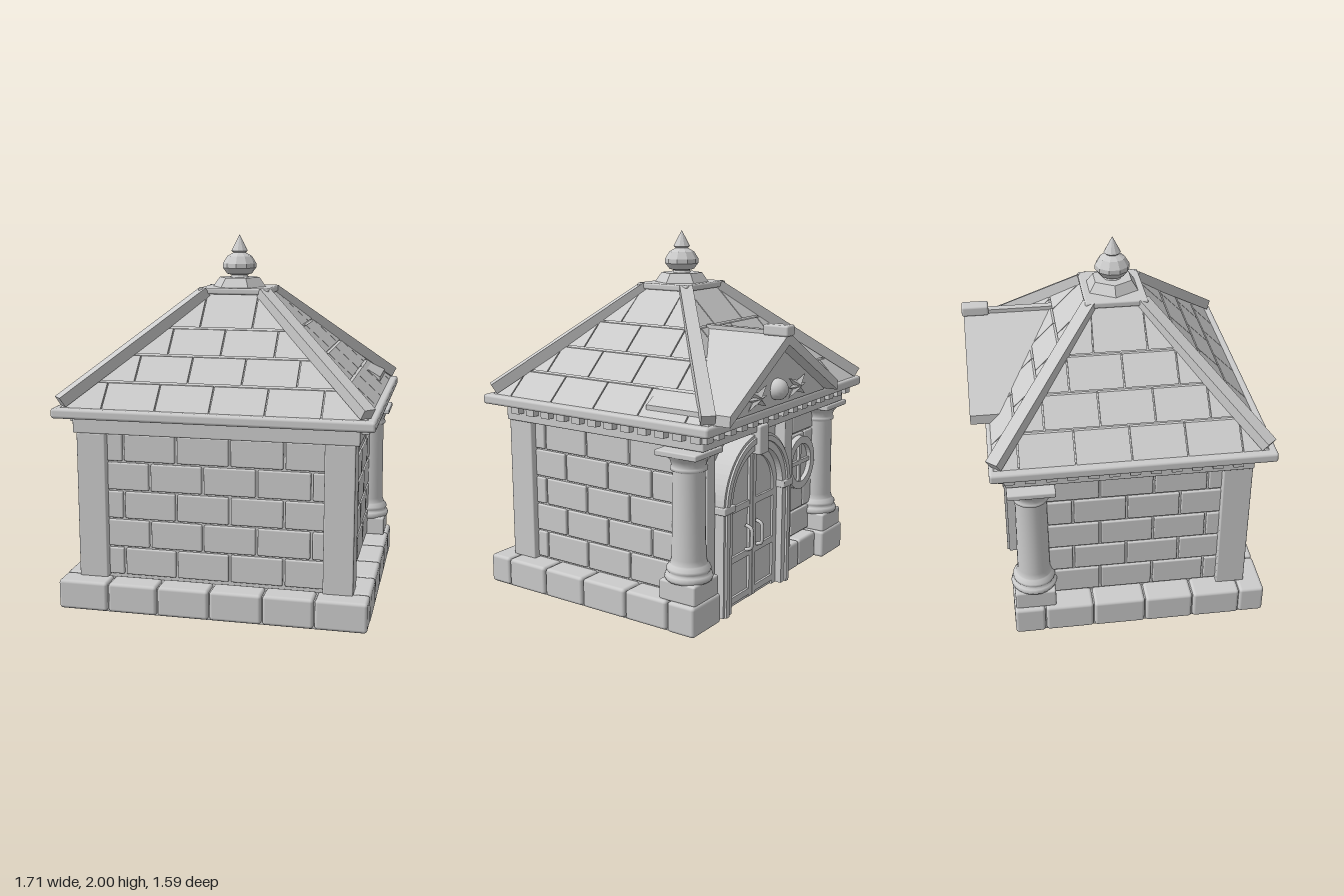
import * as THREE from 'three';
import { RoundedBoxGeometry } from 'three/addons/geometries/RoundedBoxGeometry.js';

const CZ = 0.04; // roof centre in z
const DX = 0.21; // door and pediment centre in x

export function createModel() {
  const stone = new THREE.MeshStandardMaterial({ color: 0xcccccc });
  stone.name = 'stone';
  const model = new THREE.Group();
  model.name = 'mausoleum';

  const add = (name, geo, parent = model) => {
    const m = new THREE.Mesh(geo, stone);
    m.name = name;
    parent.add(m);
    return m;
  };
  const group = (name) => {
    const g = new THREE.Group();
    g.name = name;
    model.add(g);
    return g;
  };
  // box from its limits, optionally with rounded edges
  const box = (name, x0, x1, y0, y1, z0, z1, r = 0, parent = model) => {
    const s = [x1 - x0, y1 - y0, z1 - z0];
    const geo = r ? new RoundedBoxGeometry(...s, 2, r) : new THREE.BoxGeometry(...s);
    const m = add(name, geo, parent);
    m.position.set((x0 + x1) / 2, (y0 + y1) / 2, (z0 + z1) / 2);
    return m;
  };
  const flat = (geo) => {
    const g = geo.index ? geo.toNonIndexed() : geo;
    g.computeVertexNormals();
    return g;
  };
  const poly = (pts) => new THREE.Shape(pts.map((p) => new THREE.Vector2(...p)));
  const extrude = (shape, depth) =>
    new THREE.ExtrudeGeometry(shape, { depth, bevelEnabled: false, curveSegments: 20 });

  // plinth
  const plinth = group('plinth');
  box('plinthCore', -0.82, 0.82, 0, 0.15, -0.54, 0.78, 0, plinth);
  const fx = [-0.84, -0.56, -0.285, 0, 0.285, 0.56, 0.84];
  for (let i = 0; i < 6; i++)
    box('frontPlinthBlock', fx[i] + 0.003, fx[i + 1] - 0.003, 0.003, 0.165, 0.66, 0.8, 0.018, plinth);
  const sz = [-0.44, -0.17, 0.12, 0.39, 0.66];
  for (const s of [-1, 1]) {
    for (let i = 0; i < 4; i++)
      box('sidePlinthBlock', s * 0.765 - 0.075, s * 0.765 + 0.075, 0.003, 0.165,
        sz[i] + 0.003, sz[i + 1] - 0.003, 0.018, plinth);
    box('columnPlinthBlock', s * 0.71 - 0.13, s * 0.71 + 0.13, 0, 0.165, -0.61, -0.443, 0.018, plinth);
  }
  for (const x of [-0.58, -0.37])
    box('backPlinthBlock', x + 0.003, x + 0.207, 0.003, 0.165, -0.56, -0.44, 0.018, plinth);

  // walls: a core faced with staggered bricks
  box('wallCore', -0.7, 0.7, 0.15, 0.97, -0.48, 0.645);
  const brickWall = (name, lo, hi, firstJoint) => {
    const g = group(name);
    for (let r = 0; r < 5; r++) {
      const y = 0.168 + r * 0.159;
      for (let a = firstJoint - (r % 2 ? 0.44 : 0.586); a < hi; a += 0.293) {
        const x0 = Math.max(a + 0.006, lo), x1 = Math.min(a + 0.287, hi);
        if (x1 - x0 > 0.03) box('brick', x0, x1, y + 0.005, y + 0.154, -0.02, 0.015, 0.008, g);
      }
    }
    return g;
  };
  brickWall('frontBricks', -0.6, 0.6, -0.21).position.z = 0.645;
  for (const s of [-1, 1]) {
    const w = brickWall('sideBricks', s > 0 ? -0.55 : -0.45, s > 0 ? 0.45 : 0.55, s > 0 ? -0.18 : -0.12);
    w.rotation.y = s * Math.PI / 2;
    w.position.x = s * 0.7;
  }
  const backWall = brickWall('backBricks', -0.64, 0.64, -0.21);
  backWall.rotation.y = Math.PI;
  backWall.position.z = -0.48;

  // front corner posts and back corner columns
  const columnProfile = [[0, 0.265], [0.122, 0.265], [0.128, 0.28], [0.122, 0.298], [0.108, 0.303],
    [0.116, 0.316], [0.116, 0.33], [0.1, 0.348], [0.098, 0.355], [0.09, 0.38], [0.085, 0.84],
    [0.096, 0.848], [0.096, 0.862], [0.088, 0.87], [0.098, 0.9], [0.122, 0.925], [0.122, 0.935], [0, 0.935]];
  for (const s of [-1, 1]) {
    box('cornerPost', s * 0.67 - 0.08, s * 0.67 + 0.08, 0.16, 0.965, 0.54, 0.7, 0.008);
    const x = s * 0.705, z = -0.49;
    box('columnPedestal', x - 0.112, x + 0.112, 0.16, 0.27, z - 0.112, z + 0.112, 0.012);
    const shaft = add('column', new THREE.LatheGeometry(columnProfile.map((p) => new THREE.Vector2(...p)), 24));
    shaft.position.set(x, 0, z);
    box('columnAbacus', x - 0.127, x + 0.127, 0.925, 0.957, z - 0.127, z + 0.127, 0.008);
  }

  // entablature with dentils
  box('frieze', -0.77, 0.77, 0.962, 1.06, -0.62, 0.7, 0.008);
  const dentils = group('dentils');
  for (let i = 0; i < 12; i++)
    for (const s of [-1, 1]) {
      const z = 0.6 - i * 0.109;
      box('sideDentil', s * 0.785 - 0.025, s * 0.785 + 0.025, 1.012, 1.056, z - 0.028, z + 0.028, 0, dentils);
    }
  for (let i = -7; i <= 7; i++)
    box('backDentil', i * 0.109 - 0.028, i * 0.109 + 0.028, 1.012, 1.056, -0.655, -0.61, 0, dentils);
  box('cornice', -0.855, 0.855, 1.055, 1.11, -0.7, 0.8, 0.016);

  // hipped roof: sheared tile plates on a core
  const hx = (y) => 0.8 - 1.105 * (y - 1.12);
  const hz = (y) => 1.825 - y;
  const shear = (geo, run) => {
    const p = geo.attributes.position;
    for (let i = 0; i < p.count; i++) p.setZ(i, p.getZ(i) + run(p.getY(i)));
    return flat(geo);
  };
  const rows = [1.105, 1.235, 1.367, 1.502, 1.69];
  const clamp = THREE.MathUtils.clamp;
  for (let f = 0; f < 4; f++) {
    const [run, half] = f % 2 ? [hx, hz] : [hz, hx];
    const face = group('roofFace');
    face.position.z = CZ;
    face.rotation.y = f * Math.PI / 2;
    const core = poly([[-half(1.1), 1.1], [half(1.1), 1.1], [half(1.69), 1.69], [-half(1.69), 1.69]]);
    add('roofCore', shear(extrude(core, 0.02), (y) => run(y) - 0.035), face);
    for (let r = 0; r < 4; r++) {
      const y0 = rows[r] + 0.005, y1 = rows[r + 1] - 0.005, h0 = half(y0), h1 = half(y1);
      for (let a = r % 2 ? -1.02 : -0.873; a < h0; a += 0.291) {
        const b = a + 0.284;
        const p = [clamp(a, -h0, h0), clamp(b, -h0, h0), clamp(b, -h1, h1), clamp(a, -h1, h1)];
        if (p[1] - p[0] < 0.02) continue;
        const pts = [[p[0], y0], [p[1], y0], [p[2], y1]];
        if (p[2] - p[3] > 0.002) pts.push([p[3], y1]);
        add('roofTile', shear(extrude(poly(pts), 0.02), (y) => run(y) - 0.018), face);
      }
    }
  }
  for (const sx of [-1, 1])
    for (const s of [-1, 1]) {
      const a = new THREE.Vector3(sx * 0.812, 1.14, CZ + s * 0.715);
      const b = new THREE.Vector3(sx * 0.165, 1.685, CZ + s * 0.14);
      const hip = add('hipBeam', new THREE.BoxGeometry(0.072, 0.06, a.distanceTo(b)));
      hip.position.copy(a).lerp(b, 0.5);
      hip.lookAt(b);
    }

  // roof cap and finial
  box('roofCap', -0.2, 0.2, 1.675, 1.71, CZ - 0.17, CZ + 0.17, 0.01);
  const hex = add('finialPedestal', flat(new THREE.CylinderGeometry(0.115, 0.155, 0.055, 6)));
  hex.position.set(0, 1.735, CZ);
  hex.rotation.y = Math.PI / 6;
  const finial = [[0, 1.755], [0.055, 1.755], [0.045, 1.775], [0.07, 1.782], [0.095, 1.815], [0.095, 1.84],
    [0.07, 1.88], [0.035, 1.9], [0.047, 1.91], [0, 2]];
  add('finial', flat(new THREE.LatheGeometry(finial.map((p) => new THREE.Vector2(...p)), 10))).position.z = CZ;

  // pediment
  const pediment = group('pediment');
  pediment.position.x = DX - 0.005;
  const rake = poly([[-0.575, 1.11], [0, 1.44], [0.575, 1.11], [0.575, 1.165], [0, 1.503], [-0.575, 1.165]]);
  add('pedimentRoof', extrude(rake, 0.5), pediment).position.z = -0.78;
  add('tympanum', extrude(poly([[-0.57, 1.108], [0.57, 1.108], [0, 1.45]]), 0.4), pediment).position.z = -0.7;
  box('pedimentRidge', -0.022, 0.022, 1.47, 1.512, -0.66, -0.28, 0, pediment);
  box('pedimentKeystone', -0.041, 0.041, 1.485, 1.543, -0.79, -0.64, 0.012, pediment);
  const boss = add('pedimentBoss', new THREE.SphereGeometry(0.058, 16, 12), pediment);
  boss.position.set(0, 1.2, -0.715);
  for (const s of [-1, 1])
    for (let i = 0; i < 6; i++) {
      const leaf = add('pedimentLeaf', flat(new THREE.ConeGeometry(0.026, 0.11, 4)), pediment);
      const outer = i < 3 ? 1 : -1;
      leaf.position.set(s * (0.21 + outer * 0.045), 1.185 + (i % 3 - 1) * 0.03, -0.715);
      leaf.rotation.z = -s * outer * (Math.PI / 2 - (i % 3 - 1) * 0.5);
    }

  // arched doorway
  const SPRING = 0.6;
  const doorway = group('doorway');
  doorway.position.x = DX;
  const archShape = (R) => {
    const s = new THREE.Shape();
    s.moveTo(-R, 0.01).lineTo(R, 0.01).lineTo(R, SPRING).absarc(0, SPRING, R, 0, Math.PI, false);
    return s.lineTo(-R, 0.01);
  };
  const archBand = (R, r) => {
    const s = new THREE.Shape();
    s.moveTo(r, 0.01).lineTo(R, 0.01).lineTo(R, SPRING).absarc(0, SPRING, R, 0, Math.PI, false);
    s.lineTo(-R, 0.01).lineTo(-r, 0.01).lineTo(-r, SPRING).absarc(0, SPRING, r, Math.PI, 0, true);
    return s.lineTo(r, 0.01);
  };
  add('doorPanel', extrude(archShape(0.27), 0.09), doorway).position.z = -0.56;
  add('doorSurround', extrude(archBand(0.35, 0.265), 0.14), doorway).position.z = -0.61;
  add('doorSurroundTrim', extrude(archBand(0.335, 0.305), 0.02), doorway).position.z = -0.622;
  add('doorStile', extrude(archBand(0.268, 0.225), 0.02), doorway).position.z = -0.573;
  box('archKeystone', -0.045, 0.045, 0.84, 1.0, -0.645, -0.5, 0.01, doorway);
  for (const s of [-1, 1]) {
    box('impost', s * 0.31 - 0.052, s * 0.31 + 0.052, SPRING - 0.02, SPRING + 0.02, -0.625, -0.48, 0.006, doorway);
    box('meetingStile', s * 0.018 - 0.015, s * 0.018 + 0.015, 0.02, 0.85, -0.575, -0.55, 0, doorway);
    for (const y of [0.05, 0.28, 0.56])
      box('doorRail', s * 0.13 - 0.105, s * 0.13 + 0.105, y - 0.018, y + 0.018, -0.573, -0.55, 0, doorway);
    const pull = new THREE.CatmullRomCurve3([[0.3, -0.565], [0.315, -0.6], [0.37, -0.605], [0.425, -0.6], [0.44, -0.565]]
      .map(([y, z]) => new THREE.Vector3(s * 0.055, y, z)));
    add('doorHandle', new THREE.TubeGeometry(pull, 16, 0.01, 8), doorway);
  }
  box('doorPilaster', -0.255, -0.165, 0.16, 0.965, -0.56, -0.48, 0.006);
  box('doorPilaster', 0.565, 0.64, 0.16, 0.965, -0.56, -0.48, 0.006);

  // round window
  const win = group('roundWindow');
  win.position.set(-0.43, 0.63, -0.495);
  const disc = add('windowPane', new THREE.CylinderGeometry(0.14, 0.14, 0.016, 32), win);
  disc.rotation.x = Math.PI / 2;
  const ring = new THREE.Shape().absarc(0, 0, 0.16, 0, Math.PI * 2, false);
  ring.holes.push(new THREE.Path().absarc(0, 0, 0.115, 0, Math.PI * 2, true));
  add('windowRing', extrude(ring, 0.045), win).position.z = -0.035;
  box('windowBar', -0.012, 0.012, -0.12, 0.12, -0.025, 0, 0, win);
  box('windowBar', -0.12, 0.12, -0.012, 0.012, -0.024, 0, 0, win);

  return model;
}
